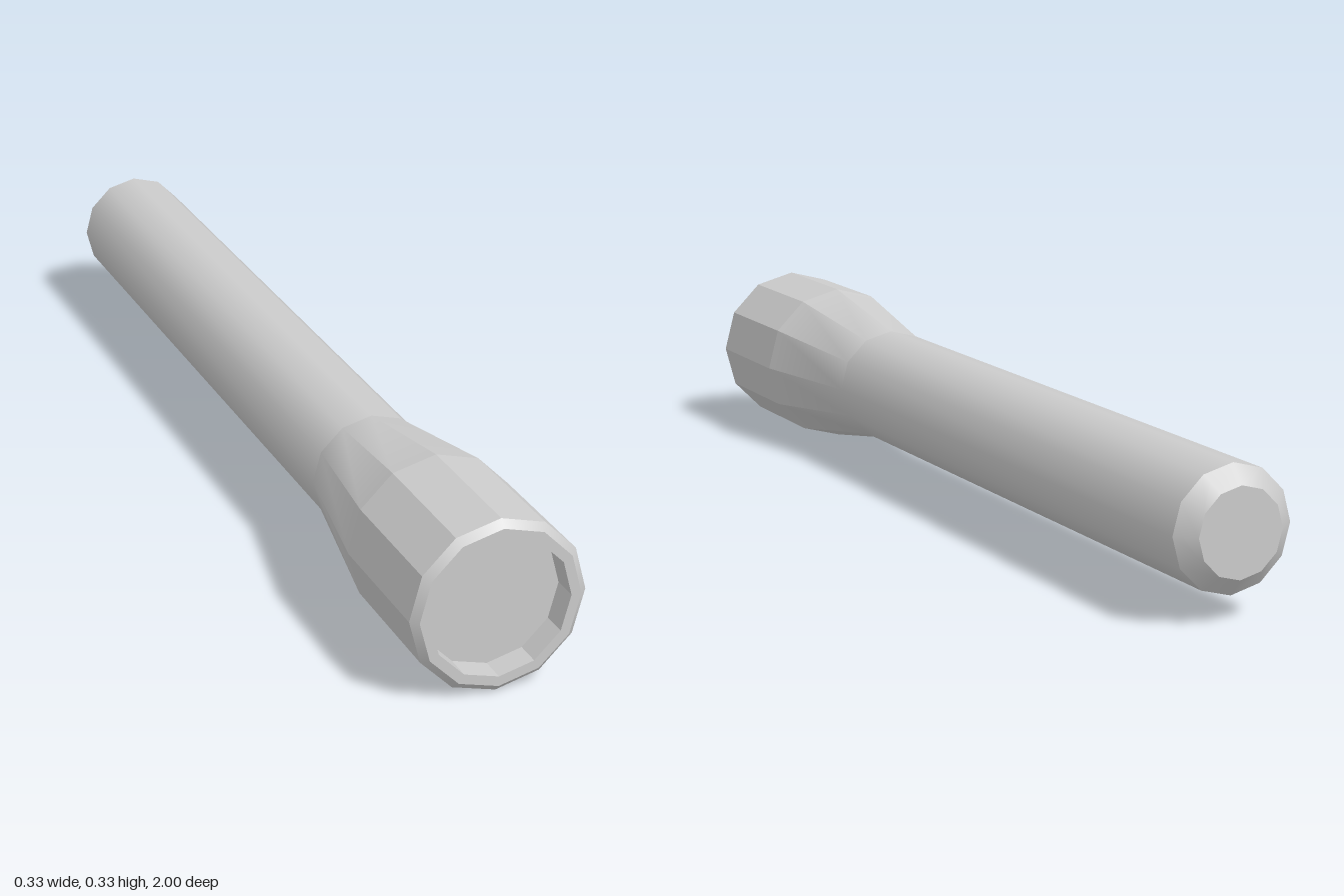
import * as THREE from 'three';

const SIDES = 12;
const AXIS_Y = 0.166;

// Sweeps a profile of [radius, z, faceted] points around the z axis.
// Each ring is shaded either smooth or faceted, blending in between.
function turned(name, profile) {
  const pos = [], nor = [];
  const step = (Math.PI * 2) / SIDES;
  for (let k = 0; k < profile.length - 1; k++) {
    const ends = [profile[k], profile[k + 1]];
    const dr = ends[1][0] - ends[0][0], dz = ends[1][1] - ends[0][1];
    const len = Math.hypot(dr, dz);
    for (let i = 0; i < SIDES; i++) {
      const put = (side, end) => {
        const [r, z, faceted] = ends[end];
        const a = (i + side) * step;
        const n = faceted ? (i + 0.5) * step : a;
        pos.push(r * Math.cos(a), r * Math.sin(a), z);
        nor.push((dz / len) * Math.cos(n), (dz / len) * Math.sin(n), -dr / len);
      };
      put(0, 0); put(1, 0); put(1, 1);
      put(0, 0); put(1, 1); put(0, 1);
    }
  }
  const geo = new THREE.BufferGeometry();
  geo.setAttribute('position', new THREE.Float32BufferAttribute(pos, 3));
  geo.setAttribute('normal', new THREE.Float32BufferAttribute(nor, 3));
  const mesh = new THREE.Mesh(geo, new THREE.MeshStandardMaterial({ color: 0xcccccc }));
  mesh.name = name;
  mesh.position.y = AXIS_Y;
  return mesh;
}

export function createModel() {
  const group = new THREE.Group();
  group.name = 'flashlight';
  group.add(
    // Flat tail with a bevelled edge
    turned('tailCap', [[0, -1], [0.083, -1], [0.117, -0.97]]),
    // Long round grip
    turned('handle', [[0.117, -0.97], [0.117, 0.43]]),
    // Flare from the smooth grip into the faceted head
    turned('neck', [[0.117, 0.43, false], [0.166, 0.72, true]]),
    turned('head', [[0.166, 0.72, true], [0.166, 0.987, true]]),
    // Bevelled rim and the wall inside it
    turned('rim', [[0.166, 0.987], [0.152, 1], [0.133, 1]]),
    turned('recess', [[0.133, 1, true], [0.133, 0.95, true]]),
    turned('lens', [[0.133, 0.95], [0, 0.95]])
  );
  return group;
}
